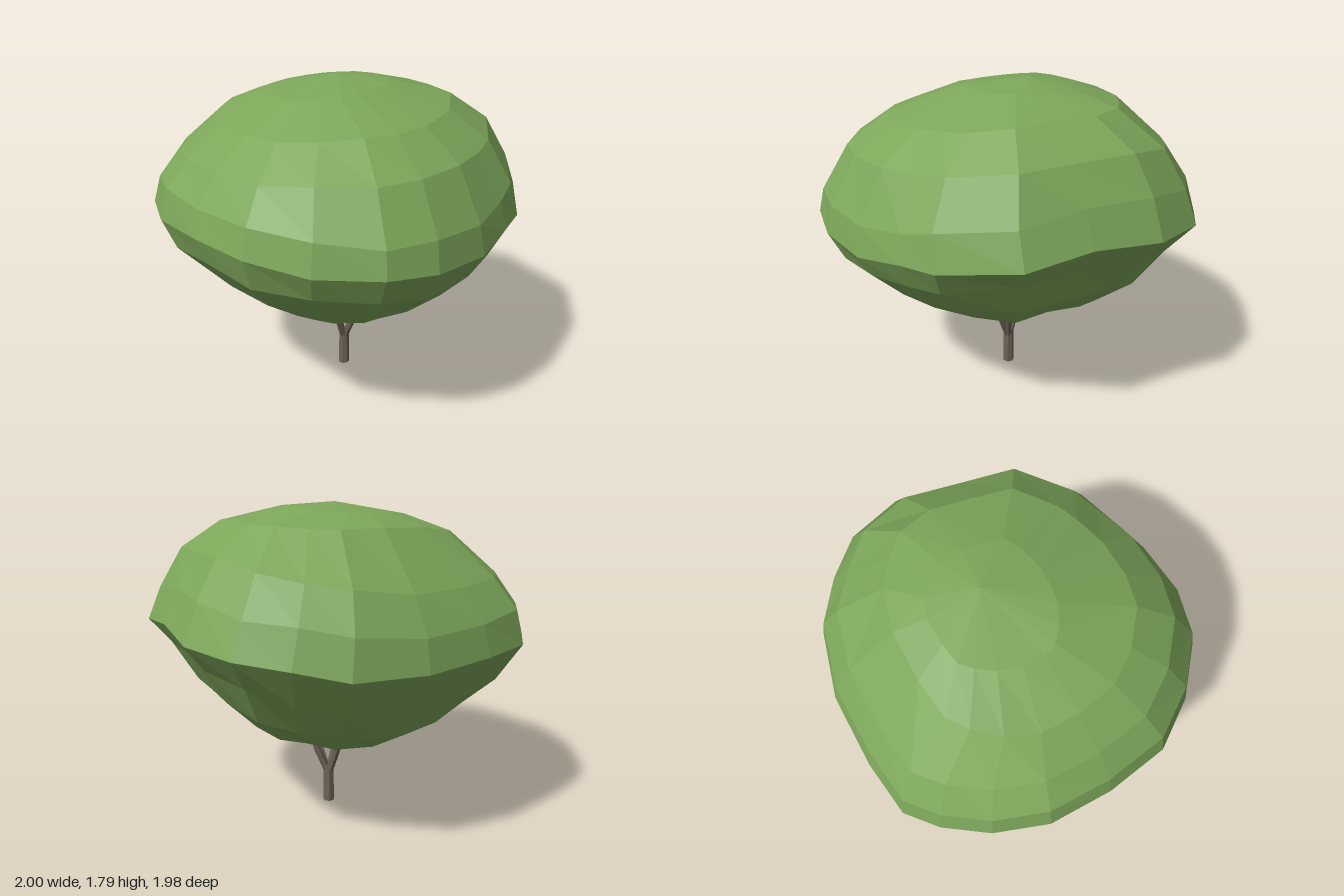
import * as THREE from 'three';

const leafMat = new THREE.MeshStandardMaterial({ color: 0x7da65a, flatShading: true });
const barkMat = new THREE.MeshStandardMaterial({ color: 0x6e6256, flatShading: true });

// Plan outline of the crown at its widest, as [x, z]
const PLAN = [
  [0.1, -1], [0.49, -0.93], [0.71, -0.78], [0.91, -0.59], [1, -0.28],
  [0.95, 0.1], [0.91, 0.45], [0.62, 0.75], [0.44, 0.84], [0.17, 0.95],
  [-0.16, 0.99], [-0.43, 0.94], [-0.7, 0.74], [-0.9, 0.48], [-0.98, 0.13],
  [-1, -0.22], [-0.92, -0.51], [-0.78, -0.74], [-0.63, -0.89], [-0.32, -0.96],
];

// Crown profiles from bottom to top, as [radius, height], one for each side
const LEFT = [[0.12, 0.41], [0.31, 0.49], [0.56, 0.63], [0.75, 0.81], [0.88, 1.03],
  [1, 1.18], [0.92, 1.37], [0.8, 1.56], [0.59, 1.7], [0.28, 1.77]];
const RIGHT = [[0.1, 0.41], [0.31, 0.46], [0.53, 0.6], [0.79, 0.81], [0.94, 0.98],
  [1, 1.14], [0.96, 1.29], [0.84, 1.43], [0.65, 1.58], [0.36, 1.71]];
const FRONT = [[0.1, 0.41], [0.3, 0.46], [0.54, 0.6], [0.74, 0.73], [0.92, 0.9],
  [1, 1.05], [0.97, 1.2], [0.82, 1.46], [0.6, 1.62], [0.2, 1.75]];
const BACK = [[0.14, 0.43], [0.3, 0.46], [0.5, 0.52], [0.67, 0.63], [0.83, 0.8],
  [0.99, 1.04], [0.95, 1.22], [0.84, 1.4], [0.57, 1.68], [0.4, 1.74]];

// Stack scaled copies of the plan, blending the four side profiles around it
function crownGeometry() {
  const pos = [], index = [], n = PLAN.length, levels = LEFT.length;
  for (let k = 0; k < levels; k++) {
    PLAN.forEach(([x, z], i) => {
      const [rx, yx] = (x > 0 ? LEFT : RIGHT)[k];
      const [rz, yz] = (z > 0 ? FRONT : BACK)[k];
      const w = (x * x) / (x * x + z * z);
      const bump = 0.012 * Math.sin(i * 2.3 + k * 1.7) * Math.sin(Math.PI * k / (levels - 1));
      pos.push(x * rx, yx * w + yz * (1 - w) + bump, z * rz);
    });
  }
  const bottom = pos.length / 3, top = bottom + 1;
  pos.push(0, 0.41, 0, 0.05, 1.79, -0.12);
  for (let i = 0; i < n; i++) {
    const j = (i + 1) % n;
    for (let k = 0; k < levels - 1; k++) {
      const a = k * n + i, b = k * n + j, c = b + n, d = a + n;
      index.push(a, d, c, a, c, b);
    }
    index.push(bottom, i, j);
    index.push(top, (levels - 1) * n + j, (levels - 1) * n + i);
  }
  const geo = new THREE.BufferGeometry();
  geo.setAttribute('position', new THREE.Float32BufferAttribute(pos, 3));
  geo.setIndex(index);
  geo.computeVertexNormals();
  return geo;
}

function addMesh(parent, name, geometry, material) {
  const mesh = new THREE.Mesh(geometry, material);
  mesh.name = name;
  parent.add(mesh);
  return mesh;
}

export function createModel() {
  const tree = new THREE.Group();
  tree.name = 'tree';
  addMesh(tree, 'crown', crownGeometry(), leafMat);

  // Trunk
  const trunk = addMesh(tree, 'trunk', new THREE.CylinderGeometry(0.03, 0.034, 0.23, 7), barkMat);
  trunk.position.set(0.02, 0.115, -0.017);

  // Branches fan out from the trunk and end inside the crown
  const branches = new THREE.Group();
  branches.name = 'branches';
  tree.add(branches);
  for (const [x, z] of [[-0.06, 0.02], [0.1, 0.03], [0.0, -0.1], [0.05, 0.07]]) {
    const path = new THREE.CatmullRomCurve3([
      new THREE.Vector3(0.02, 0.17, -0.017),
      new THREE.Vector3(0.02 + (x - 0.02) * 0.35, 0.25, -0.017 + (z + 0.017) * 0.35),
      new THREE.Vector3(0.02 + (x - 0.02) * 0.8, 0.35, -0.017 + (z + 0.017) * 0.8),
      new THREE.Vector3(x, 0.46, z),
    ]);
    addMesh(branches, 'branch', new THREE.TubeGeometry(path, 5, 0.021, 6), barkMat);
  }
  return tree;
}
